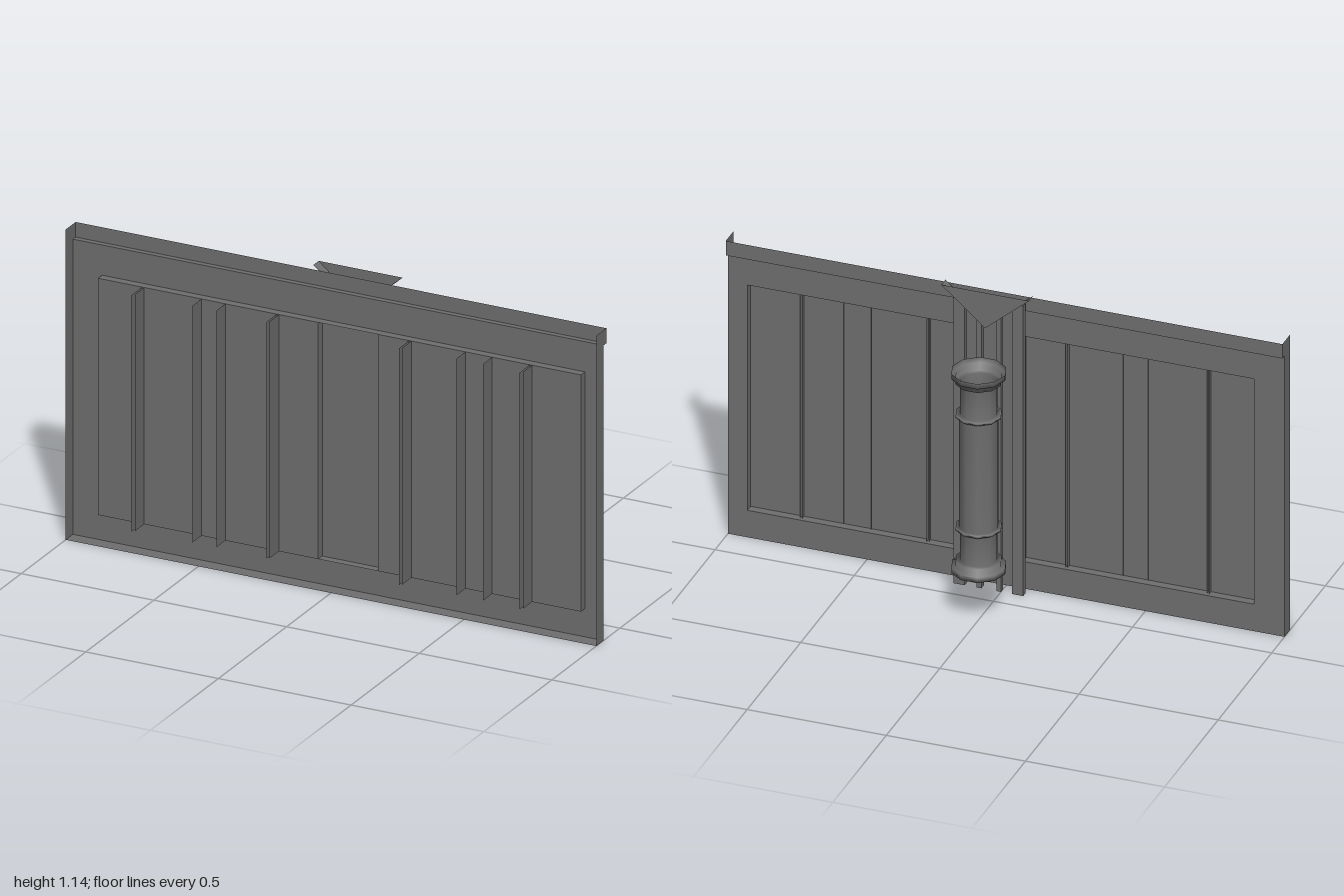
import * as THREE from 'three';
import { mergeGeometries } from 'three/addons/utils/BufferGeometryUtils.js';

const COLOR = 0x6f6f6f;
const material = new THREE.MeshStandardMaterial({ color: COLOR, side: THREE.DoubleSide, flatShading: true });
const smooth = new THREE.MeshStandardMaterial({ color: COLOR, side: THREE.DoubleSide });

// Flat sheets, each square to one axis
function sheetX(x, y0, y1, z0, z1) {
  return new THREE.PlaneGeometry(z1 - z0, y1 - y0).rotateY(Math.PI / 2).translate(x, (y0 + y1) / 2, (z0 + z1) / 2);
}
function sheetY(y, x0, x1, z0, z1) {
  return new THREE.PlaneGeometry(x1 - x0, z1 - z0).rotateX(-Math.PI / 2).translate((x0 + x1) / 2, y, (z0 + z1) / 2);
}
function sheetZ(z, x0, x1, y0, y1) {
  return new THREE.PlaneGeometry(x1 - x0, y1 - y0).rotateY(Math.PI).translate((x0 + x1) / 2, (y0 + y1) / 2, z);
}

function add(group, name, geometries, mat = material) {
  const mesh = new THREE.Mesh(geometries.length > 1 ? mergeGeometries(geometries) : geometries[0], mat);
  mesh.name = name;
  group.add(mesh);
}

const BACK = 0.12, FRONT = 0.173, LIP = 0.1, PANEL = 0.15;
const LOW = 0.103, HIGH = 0.965, LIP_Y = 1.075, TOP = 1.13;

// Recessed panels with the plank joints between their edges
const panels = [
  { x0: -0.89, x1: -0.06, wide: [-0.72, -0.212], narrow: [-0.5, -0.41] },
  { x0: 0.165, x1: 0.93, wide: [0.287, 0.742], narrow: [0.495, 0.595] },
];

function addWall(group) {
  // Back face with two openings
  const face = new THREE.Shape([[-1, 0], [1, 0], [1, LIP_Y], [-1, LIP_Y]].map(p => new THREE.Vector2(...p)));
  for (const { x0, x1 } of panels) {
    face.holes.push(new THREE.Path([[x0, LOW], [x0, HIGH], [x1, HIGH], [x1, LOW]].map(p => new THREE.Vector2(...p))));
  }
  add(group, 'wallFace', [new THREE.ShapeGeometry(face).translate(0, 0, BACK)]);

  // Ends and floor of the shell, open to the front and top
  const shell = [sheetY(0, -1, 1, BACK, FRONT)];
  for (const x of [-1, 1]) shell.push(sheetX(x, 0, LIP_Y, BACK, FRONT), sheetX(x, LIP_Y, TOP, LIP, FRONT));
  add(group, 'wallShell', shell);

  // Overhanging strip along the top
  add(group, 'topLip', [sheetY(LIP_Y, -1, 1, LIP, BACK), sheetZ(LIP, -1, 1, LIP_Y, TOP)]);

  // Ledges above and below, running across both panels
  const [left, right] = [panels[0].x0, panels[1].x1];
  add(group, 'panelLedges', [LOW, HIGH].map(y => sheetY(y, left, right, BACK, PANEL)));

  for (const { x0, x1, wide, narrow } of panels) {
    add(group, 'recessedPanel', [
      sheetZ(PANEL, x0, x1, LOW, HIGH),
      sheetX(x0, LOW, HIGH, BACK, PANEL), sheetX(x1, LOW, HIGH, BACK, PANEL),
    ]);
    // Thin upright fins at the plank joints
    const fins = [];
    for (const x of wide) fins.push(sheetX(x + 0.004, LOW, HIGH, 0.132, 0.218), sheetX(x - 0.004, LOW, HIGH, 0.132, 0.227));
    for (const x of narrow) fins.push(sheetX(x, LOW, HIGH, 0.145, 0.215));
    add(group, 'plankFins', fins);
  }
}

function addBracket(group) {
  // Four narrow posts, open to the front and top
  for (const [x0, x1] of [[-0.08, -0.04], [0, 0.015], [0.07, 0.087], [0.13, 0.17]]) {
    add(group, 'post', [
      sheetZ(0.07, x0, x1, 0, 1.11),
      sheetX(x0, 0, 1.11, 0.07, 0.092), sheetX(x1, 0, 1.11, 0.07, 0.092),
      sheetY(0, x0, x1, 0.07, 0.092),
    ]);
  }
  // Downward-pointing triangular cap: back face and two sloping sides
  const [l, m, r, t, b, z0, z1] = [-0.108, 0.05, 0.208, 1.143, 1.008, 0.053, 0.092];
  const cap = new THREE.BufferGeometry();
  cap.setAttribute('position', new THREE.Float32BufferAttribute([
    l, t, z0, r, t, z0, m, b, z0,
    l, t, z1, m, b, z1, r, t, z1,
  ], 3));
  cap.setIndex([0, 1, 2, 0, 2, 4, 0, 4, 3, 2, 1, 5, 2, 5, 4]);
  cap.computeVertexNormals();
  add(group, 'triangularCap', [cap]);
}

function addColumn(group) {
  // Ten-sided turned profile with soft shading, closed below and open above
  const half = [
    [0.095, 0.192], [0.095, 0.212], [0.08, 0.214], [0.08, 0.234], [0.065, 0.236],
    [0.065, 0.352], [0.08, 0.353], [0.08, 0.361], [0.068, 0.362],
  ];
  const mirrored = half.map(([r, y]) => [r, 1.145 - y]).reverse();
  const profile = [[0, 0.192], ...half, ...mirrored].map(p => new THREE.Vector2(...p));
  const lathe = new THREE.LatheGeometry(profile, 10).rotateY(Math.PI / 2);
  add(group, 'column', [lathe.translate(0, 0, -0.137)], smooth);
}

export function createModel() {
  const model = new THREE.Group();
  model.name = 'wallWithColumn';
  addWall(model);
  addBracket(model);
  addColumn(model);
  return model;
}
